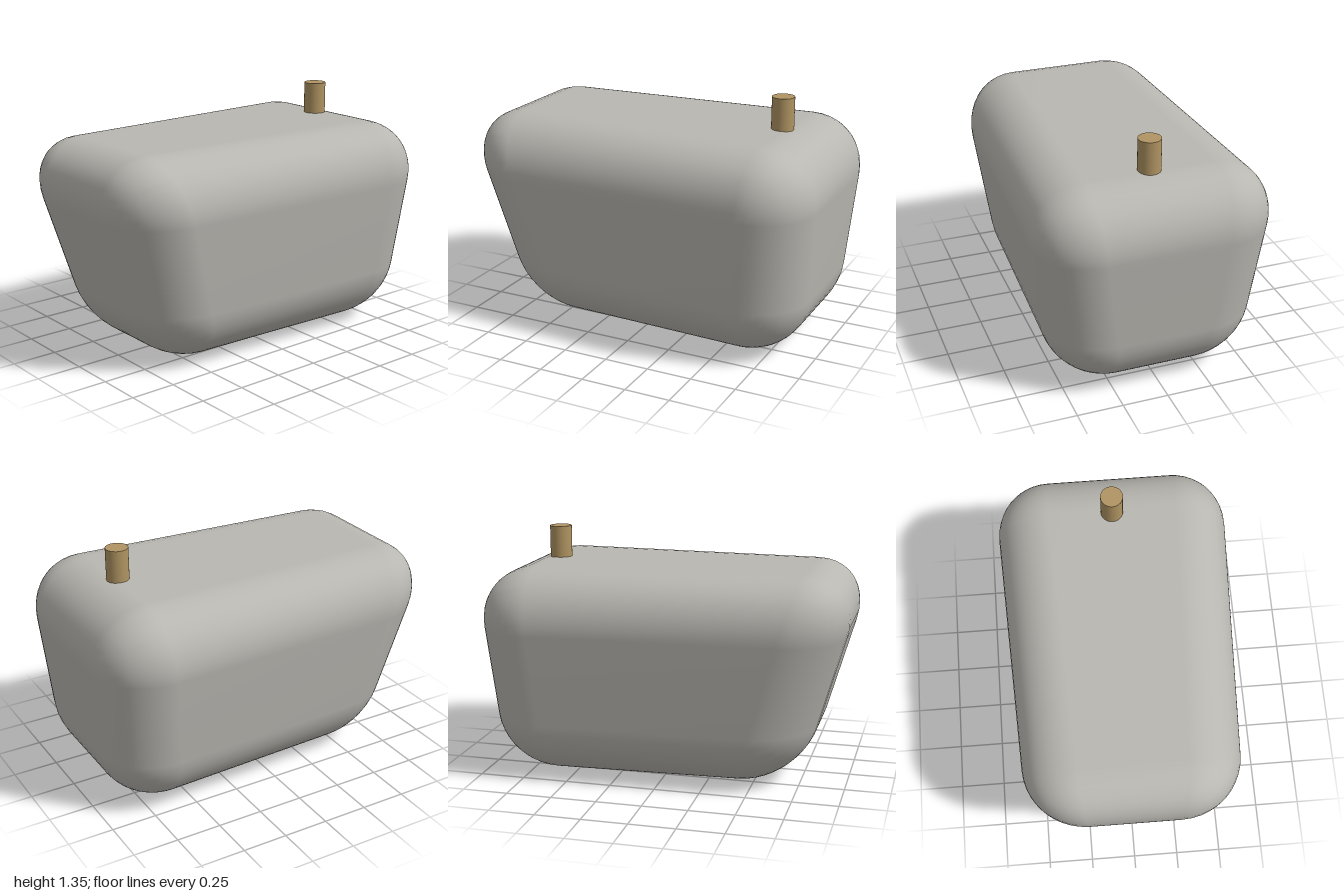
import * as THREE from 'three';
import { RoundedBoxGeometry } from 'three/addons/geometries/RoundedBoxGeometry.js';
import { mergeVertices } from 'three/addons/utils/BufferGeometryUtils.js';

// Rounded block whose sides lean out toward the top and whose width narrows toward the front
function taperedBlock() {
  const height = 1.17, halfX = 0.6, halfZ = 0.9, radius = 0.33;
  const box = new RoundedBoxGeometry(halfX * 2, height, halfZ * 2, 6, radius);
  box.clearGroups();
  box.deleteAttribute('normal');
  box.deleteAttribute('uv');
  const p = box.attributes.position;
  for (let i = 0; i < p.count; i++) {
    const x = p.getX(i), z0 = p.getZ(i);
    const y = p.getY(i) + height / 2;
    // Slanted front and back planes
    const z = z0 > 0 ? z0 + 0.745 + 0.286 * y - halfZ : z0 - (0.93 + 0.08 * y - halfZ);
    // Slanted side planes
    const planeX = 0.54 + 0.12 * y - 0.044 * (z + 0.7);
    p.setXYZ(i, x + Math.sign(x) * (planeX - halfX), y, z);
  }
  const geometry = mergeVertices(box, 1e-4);
  geometry.computeVertexNormals();
  return geometry;
}

export function createModel() {
  const model = new THREE.Group();
  model.name = 'taperedBlockWithPeg';

  const stone = new THREE.MeshStandardMaterial({ color: 0xb9b7b1 });
  stone.name = 'warmGrey';
  const wood = new THREE.MeshStandardMaterial({ color: 0xb09462 });
  wood.name = 'tan';

  const body = new THREE.Mesh(taperedBlock(), stone);
  body.name = 'body';
  model.add(body);

  // Upright peg near the back, sunk into the top
  const peg = new THREE.Mesh(new THREE.CylinderGeometry(0.061, 0.061, 0.3, 32), wood);
  peg.name = 'peg';
  peg.position.set(0, 1.195, -0.677);
  model.add(peg);

  return model;
}
